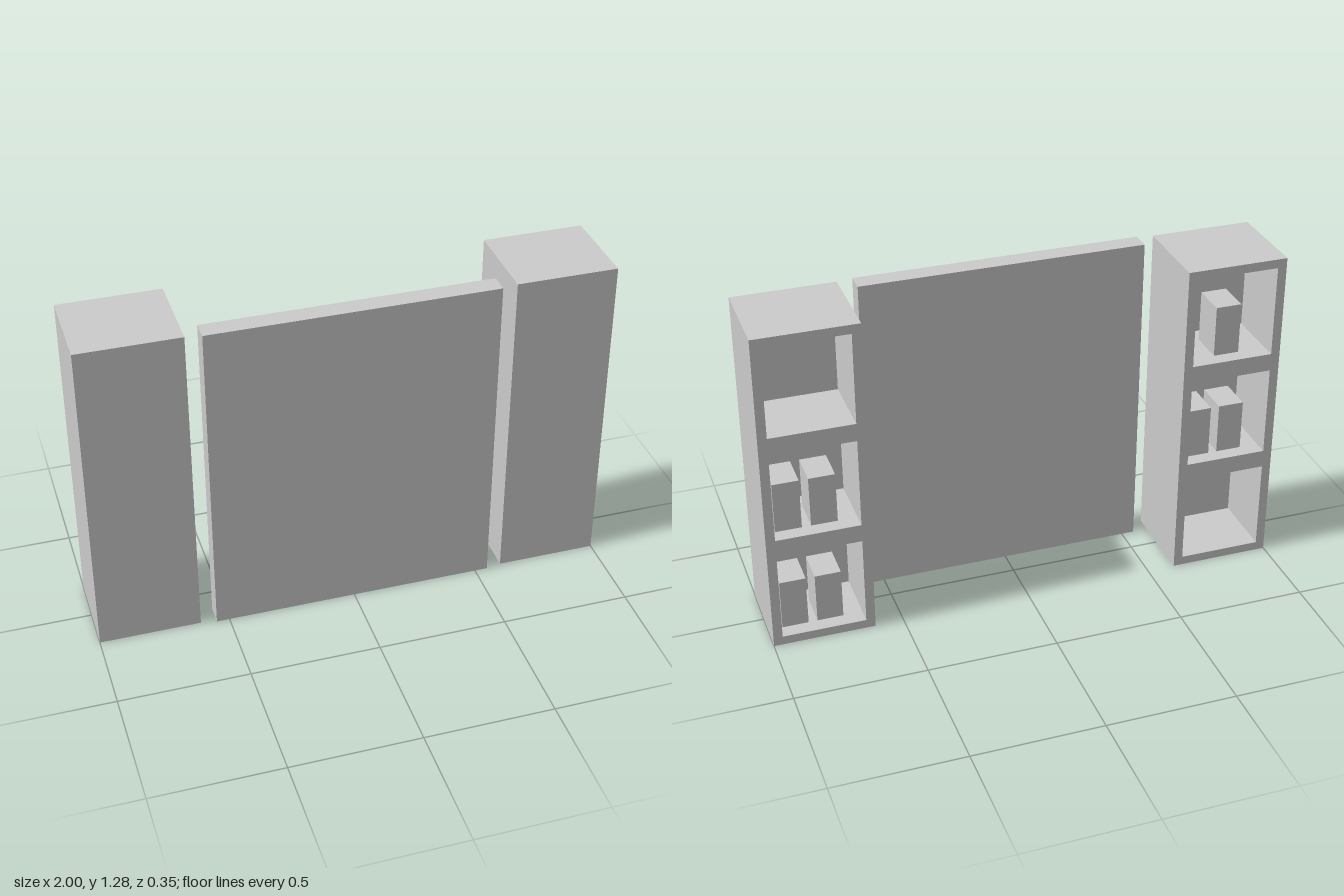
import * as THREE from 'three';

const H = 1.28, W = 0.39, WALL = 0.035, ROWS = 3;
const BACK = -0.177, FRONT = 0.166, RECESS = 0.265;
const CELL = H / ROWS;
const material = new THREE.MeshStandardMaterial({ color: 0xcccccc, flatShading: true });

function add(parent, name, geometry, x, y, z) {
  const mesh = new THREE.Mesh(geometry, material);
  mesh.name = name;
  mesh.position.set(x, y, z);
  parent.add(mesh);
}

function rectangle(path, x0, y0, x1, y1) {
  path.moveTo(x0, y0);
  path.lineTo(x1, y0);
  path.lineTo(x1, y1);
  path.lineTo(x0, y1);
  path.closePath();
  return path;
}

// A shelf tower open at the rear; itemCounts lists the boxes per row, bottom to top
function makeTower(name, x, itemCounts) {
  const tower = new THREE.Group();
  tower.name = name;
  tower.position.x = x;

  // Pierced shelf frame
  const outline = rectangle(new THREE.Shape(), -W / 2, 0, W / 2, H);
  for (let i = 0; i < ROWS; i++) {
    outline.holes.push(rectangle(new THREE.Path(),
      -W / 2 + WALL, i * CELL + WALL, W / 2 - WALL, (i + 1) * CELL - WALL));
  }
  const frame = new THREE.ExtrudeGeometry(outline, { depth: RECESS, bevelEnabled: false });
  add(tower, 'shelfFrame', frame, 0, 0, BACK);

  // Solid front closing the compartments
  const thick = FRONT - BACK - RECESS;
  add(tower, 'frontSlab', new THREE.BoxGeometry(W, H, thick), 0, H / 2, FRONT - thick / 2);

  // Stored boxes standing on the shelf floors
  const offsets = { 0: [], 1: [0], 2: [0.098, -0.036] };
  itemCounts.forEach((count, row) => {
    for (const dx of offsets[count]) {
      add(tower, 'storedBox', new THREE.BoxGeometry(0.1, 0.2, 0.14),
        dx, row * CELL + WALL + 0.1, BACK + 0.057 + 0.07);
    }
  });
  return tower;
}

export function createModel() {
  const model = new THREE.Group();
  model.name = 'shelfWall';

  // Central panel, slightly proud of the towers
  add(model, 'centrePanel', new THREE.BoxGeometry(1.1, H, 0.076), 0, H / 2, 0.139);

  model.add(makeTower('leftTower', 1 - W / 2, [2, 2, 0]));
  model.add(makeTower('rightTower', -1 + W / 2, [0, 2, 1]));
  return model;
}
